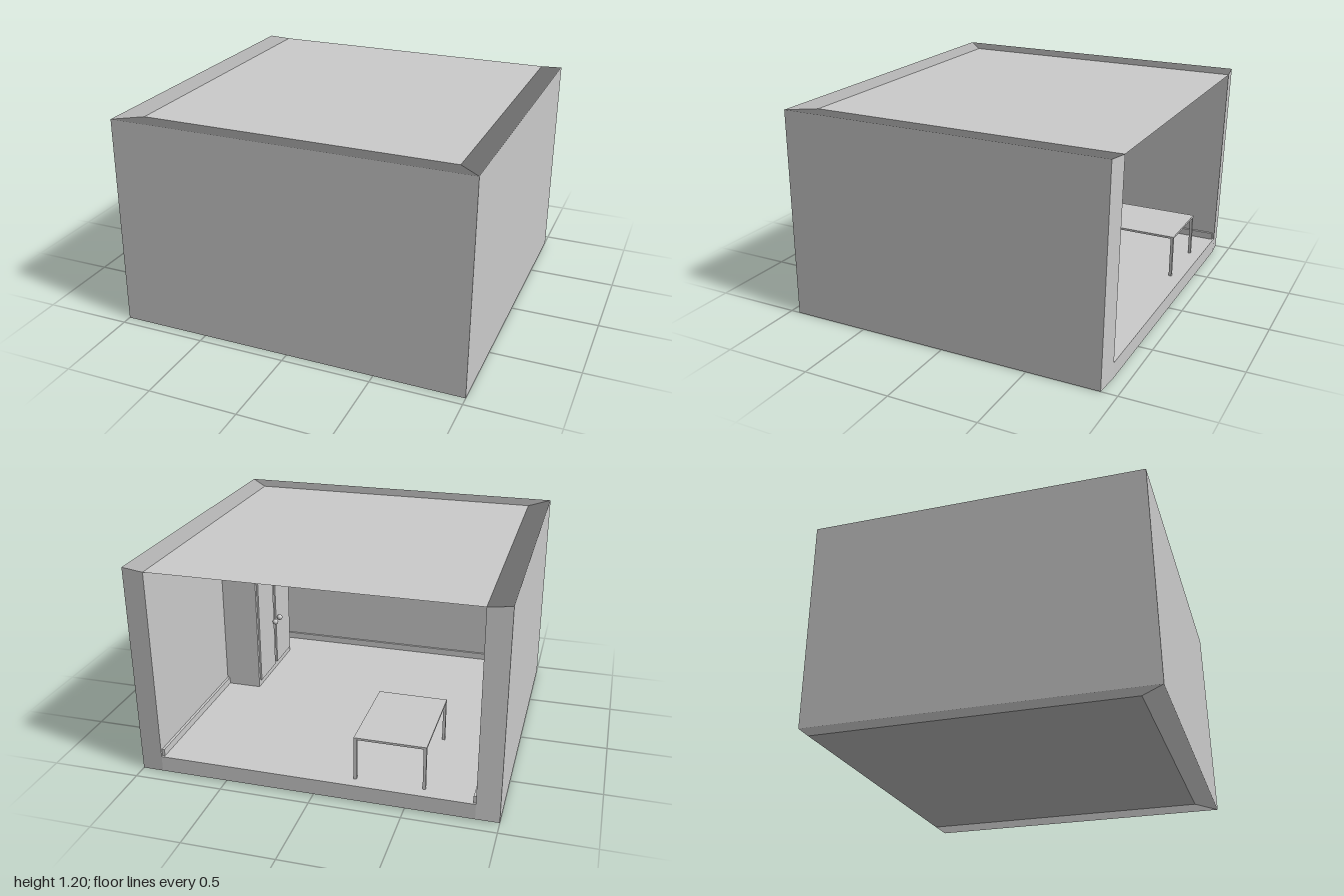
import * as THREE from 'three';

const mat = new THREE.MeshStandardMaterial({ color: 0xcccccc });
const thin = new THREE.MeshStandardMaterial({ color: 0xcccccc, side: THREE.DoubleSide });

// Shell sizes: outer (O) and inner (I) half widths, fronts, backs and heights
const XO = 1, XI = 0.875, FO = 0.945, FI = 0.82, BO = -0.91, BI = -0.925;
const TOP = 1.2, CEIL = 1.19, FLOOR = 0.1, UNDER = 0.01;

// The whole shell leans back slightly
const lean = (y) => -y / 60;

// Flat four-cornered panel, corners anticlockwise from its front
function panel(group, name, corners, normal) {
  const pts = corners.map(([x, y, z]) => [x, y, z + lean(y)]);
  const geo = new THREE.BufferGeometry();
  geo.setAttribute('position', new THREE.Float32BufferAttribute(
    [0, 1, 2, 0, 2, 3].flatMap((i) => pts[i]), 3));
  if (normal) {
    geo.setAttribute('normal', new THREE.Float32BufferAttribute(
      Array.from({ length: 6 }, () => normal).flat(), 3));
  } else geo.computeVertexNormals();
  const mesh = new THREE.Mesh(geo, thin);
  mesh.name = name;
  group.add(mesh);
}

// Same panel on both sides of the room
function sidePanels(group, name, corners, normal) {
  panel(group, name, corners, normal);
  const flip = ([x, y, z]) => [-x, y, z];
  panel(group, name, corners.map(flip).reverse(), normal && flip(normal));
}

// Box given by its lowest and highest corner
function block(group, name, [x0, y0, z0], [x1, y1, z1]) {
  const mesh = new THREE.Mesh(new THREE.BoxGeometry(x1 - x0, y1 - y0, z1 - z0), mat);
  mesh.position.set((x0 + x1) / 2, (y0 + y1) / 2, (z0 + z1) / 2);
  mesh.name = name;
  group.add(mesh);
}

function makeShell() {
  const g = new THREE.Group();
  g.name = 'roomShell';
  // Side walls: outside, inside, rear edge, top and bottom edges
  sidePanels(g, 'outerSideWall', [[XO, 0, FO], [XO, 0, BO], [XO, TOP, BO], [XO, TOP, FO]]);
  sidePanels(g, 'innerSideWall', [[XI, UNDER, BI], [XI, UNDER, FI], [XI, CEIL, FI], [XI, CEIL, BI]]);
  sidePanels(g, 'sideWallRearEdge', [[XO, 0, BO], [XI, UNDER, BI], [XI, CEIL, BI], [XO, TOP, BO]]);
  sidePanels(g, 'sideWallTopEdge', [[XI, CEIL, FI], [XO, TOP, FO], [XO, TOP, BO], [XI, CEIL, BI]], [-1, 0, 0]);
  sidePanels(g, 'sideWallBottomEdge', [[XO, 0, FO], [XI, UNDER, FI], [XI, UNDER, BI], [XO, 0, BO]], [-1, 0, 0]);
  // Front wall
  panel(g, 'outerFrontWall', [[-XO, 0, FO], [XO, 0, FO], [XO, TOP, FO], [-XO, TOP, FO]]);
  panel(g, 'innerFrontWall', [[XI, UNDER, FI], [-XI, UNDER, FI], [-XI, CEIL, FI], [XI, CEIL, FI]]);
  panel(g, 'frontWallTopEdge', [[-XO, TOP, FO], [XO, TOP, FO], [XI, CEIL, FI], [-XI, CEIL, FI]], [0, 0, -1]);
  panel(g, 'frontWallBottomEdge', [[XO, 0, FO], [-XO, 0, FO], [-XI, UNDER, FI], [XI, UNDER, FI]], [0, 0, -1]);
  // Roof and floor
  panel(g, 'roof', [[-XI, CEIL, FI], [XI, CEIL, FI], [XI, CEIL, BI], [-XI, CEIL, BI]]);
  panel(g, 'floor', [[-XI, FLOOR, FI], [XI, FLOOR, FI], [XI, FLOOR, BI], [-XI, FLOOR, BI]]);
  panel(g, 'floorUnderside', [[XI, UNDER, FI], [-XI, UNDER, FI], [-XI, UNDER, BI], [XI, UNDER, BI]]);
  panel(g, 'floorRearEdge', [[XI, UNDER, BI], [-XI, UNDER, BI], [-XI, FLOOR, BI], [XI, FLOOR, BI]]);
  return g;
}

function makeBaseboards() {
  const g = new THREE.Group();
  g.name = 'baseboards';
  const h = FLOOR + 0.04, t = 0.015;
  block(g, 'leftBaseboard', [XI - t, FLOOR, BI + 0.01], [XI, h, FI]);
  block(g, 'rightBaseboard', [-XI, FLOOR, BI + 0.01], [-XI + t, h, FI]);
  block(g, 'frontBaseboard', [-XI, FLOOR, FI - t], [XI, h, FI]);
  return g;
}

function makeTable() {
  const g = new THREE.Group();
  g.name = 'table';
  const x0 = -0.6, x1 = -0.21, z0 = -0.86, z1 = -0.31, h = 0.35, leg = 0.016;
  block(g, 'tableTop', [x0, h - 0.012, z0], [x1, h, z1]);
  for (const x of [x0, x1 - leg]) {
    for (const z of [z0, z1 - leg]) {
      block(g, 'tableLeg', [x, FLOOR, z], [x + leg, h - 0.012, z + leg]);
    }
  }
  return g;
}

function makeWardrobe() {
  const g = new THREE.Group();
  g.name = 'wardrobe';
  const x = 0.66, z0 = 0.02, z1 = 0.6, top = 0.85, mid = (z0 + z1) / 2;
  block(g, 'wardrobeBody', [x, FLOOR, z0], [XI, top, z1]);
  for (const s of [-1, 1]) {
    // Door slab and round knob on either side of the middle
    const near = mid + s * 0.02, far = mid + s * 0.27;
    block(g, 'wardrobeDoor', [x - 0.01, FLOOR + 0.04, Math.min(near, far)],
      [x, top - 0.04, Math.max(near, far)]);
    const knob = new THREE.Mesh(new THREE.SphereGeometry(0.018, 16, 12), mat);
    knob.position.set(x - 0.028, 0.45, mid + s * 0.04);
    knob.name = 'doorKnob';
    g.add(knob);
  }
  return g;
}

export function createModel() {
  const model = new THREE.Group();
  model.name = 'furnishedRoom';
  model.add(makeShell(), makeBaseboards(), makeTable(), makeWardrobe());
  return model;
}
